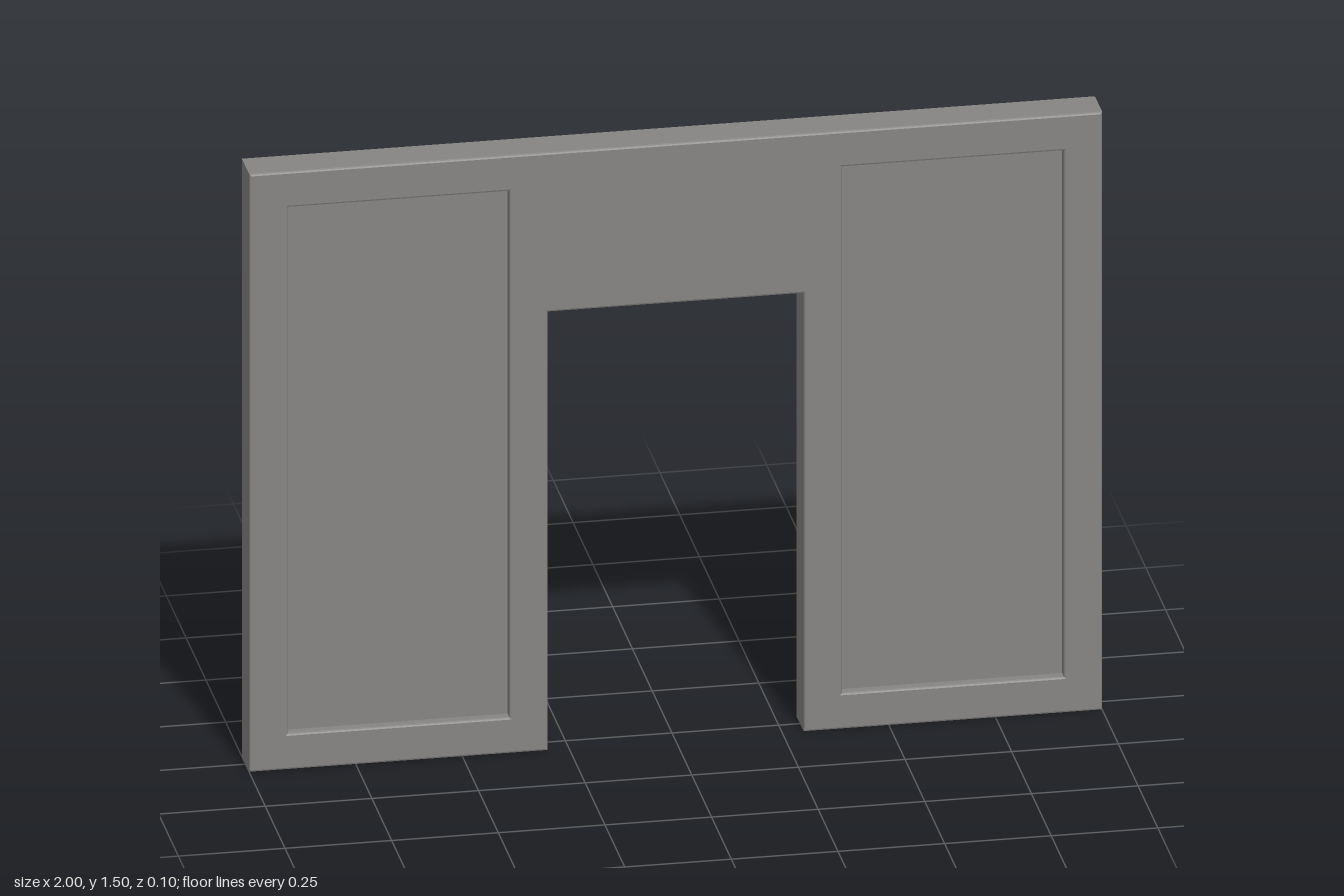
import * as THREE from 'three';

const DEPTH = 0.1, RECESS = 0.025, BEVEL = 0.005;
const HEIGHT = 1.5, DOOR_X = 0.3, DOOR_Y = 1.1;
const PANEL = { x0: 0.39, x1: 0.91, y0: 0.09, y1: 1.41 };

const toPoints = (pairs) => pairs.map(([x, y]) => new THREE.Vector2(x, y));

export function createModel() {
  const group = new THREE.Group();
  group.name = 'doorwayWall';
  const material = new THREE.MeshStandardMaterial({ color: 0x878582 });

  // Wall outline with a doorway open at the bottom
  const outline = new THREE.Shape(toPoints([
    [-1, 0], [-DOOR_X, 0], [-DOOR_X, DOOR_Y], [DOOR_X, DOOR_Y],
    [DOOR_X, 0], [1, 0], [1, HEIGHT], [-1, HEIGHT],
  ]));

  const { x0, x1, y0, y1 } = PANEL;
  for (const side of [-1, 1]) {
    // Opening in the frame for each recessed panel
    outline.holes.push(new THREE.Path(toPoints([
      [side * x0, y0], [side * x0, y1], [side * x1, y1], [side * x1, y0],
    ])));

    // Panel set back from both faces of the wall
    const panel = new THREE.Mesh(
      new THREE.BoxGeometry(x1 - x0, y1 - y0, DEPTH - 2 * RECESS), material);
    panel.position.set(side * (x0 + x1) / 2, (y0 + y1) / 2, 0);
    panel.name = side > 0 ? 'leftPanel' : 'rightPanel';
    group.add(panel);
  }

  // Frame of full thickness with finely eased edges
  const geometry = new THREE.ExtrudeGeometry(outline, {
    depth: DEPTH - 2 * BEVEL,
    bevelThickness: BEVEL,
    bevelSize: BEVEL,
    bevelOffset: -BEVEL,
    bevelSegments: 2,
  });
  geometry.translate(0, 0, BEVEL - DEPTH / 2);
  const frame = new THREE.Mesh(geometry, material);
  frame.name = 'wallFrame';
  group.add(frame);

  return group;
}
